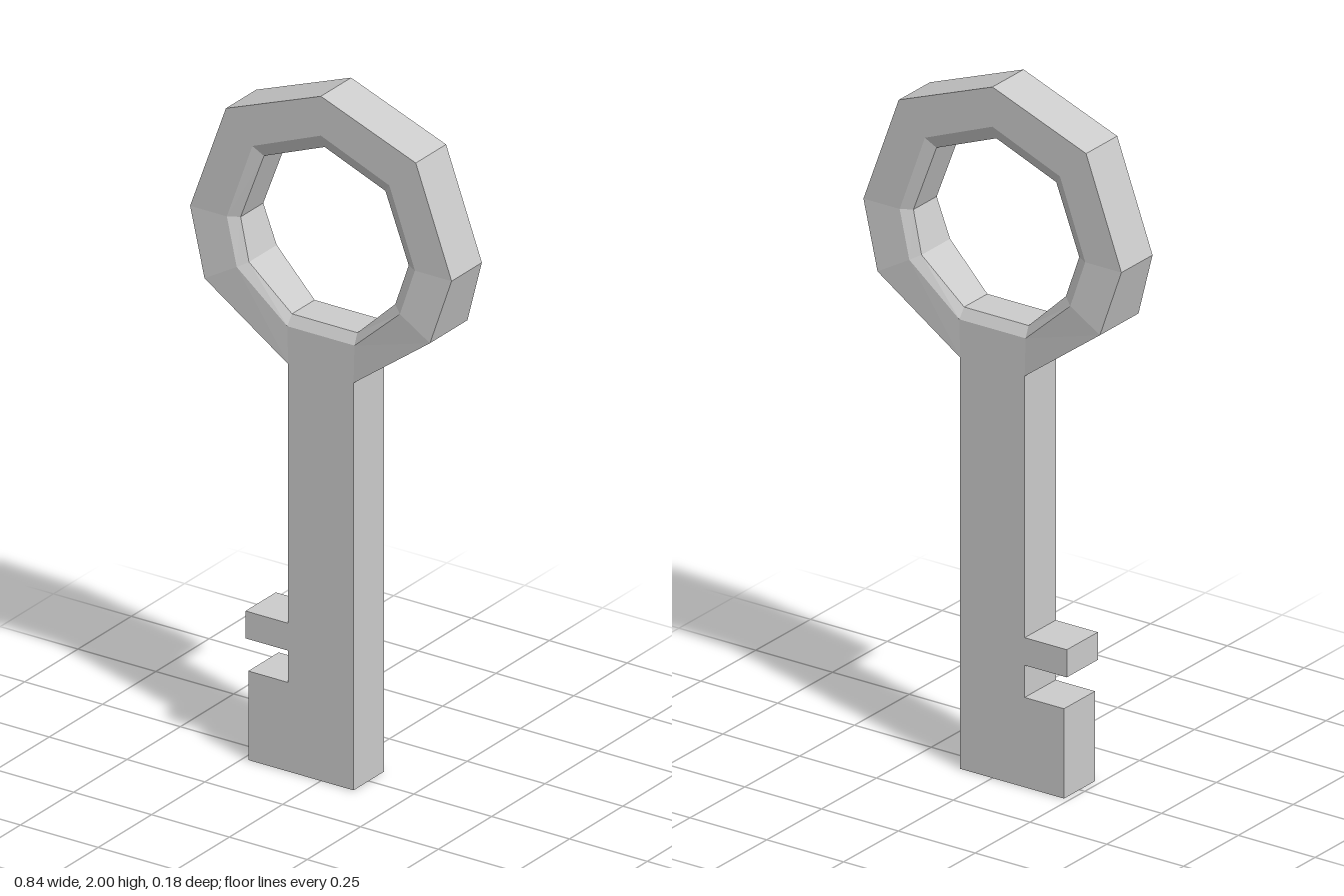
import * as THREE from 'three';

const material = new THREE.MeshStandardMaterial({ color: 0xcccccc, flatShading: true });
const T = 0.071; // half thickness

// Half of the bow, from top to shank: outer x, y, z; crease x, y, z; inner x, y
const HALF = [
  [0, 2, T, 0, 1.885, T, 0, 1.845],
  [0.305, 1.885, T, 0.22, 1.797, T, 0.195, 1.768],
  [0.42, 1.57, T, 0.302, 1.57, T, 0.27, 1.57],
  [0.362, 1.38, 0.088, 0.262, 1.437, 0.083, 0.235, 1.452],
  [0.105, 1.19, T, 0.108, 1.3, T, 0.105, 1.33],
];

// Faceted bow: a six-sided section swept around the nine corners
function makeBow() {
  const section = ([ox, oy, oz, mx, my, mz, ix, iy], s) => {
    const iz = mz - 0.018;
    return [
      [s * ox, oy, oz], [s * mx, my, mz], [s * ix, iy, iz],
      [s * ix, iy, -iz], [s * mx, my, -mz], [s * ox, oy, -oz],
    ];
  };
  const rings = [
    ...HALF.map((h) => section(h, 1)),
    ...HALF.slice(1).reverse().map((h) => section(h, -1)),
  ];
  const pos = [];
  rings.forEach((p, i) => {
    const q = rings[(i + 1) % rings.length];
    for (let k = 0; k < 6; k++) {
      if (i === 4 && k === 5) continue; // open where the shank joins
      const n = (k + 1) % 6;
      pos.push(...p[k], ...p[n], ...q[n], ...p[k], ...q[n], ...q[k]);
    }
  });
  const geo = new THREE.BufferGeometry();
  geo.setAttribute('position', new THREE.Float32BufferAttribute(pos, 3));
  geo.computeVertexNormals();
  return geo;
}

// Shank and teeth cut from one flat outline
function makeShank() {
  const outline = [
    [0.105, 0], [0.105, 1.19], [-0.105, 1.19], [-0.105, 0.433], [-0.242, 0.433],
    [-0.242, 0.353], [-0.105, 0.353], [-0.105, 0.26], [-0.233, 0.26], [-0.233, 0],
  ].map(([x, y]) => new THREE.Vector2(x, y));
  const geo = new THREE.ExtrudeGeometry(new THREE.Shape(outline), { depth: 2 * T, bevelEnabled: false });
  return geo.translate(0, 0, -T);
}

export function createModel() {
  const group = new THREE.Group();
  group.name = 'key';
  const add = (name, geo) => {
    const mesh = new THREE.Mesh(geo, material);
    mesh.name = name;
    group.add(mesh);
  };
  add('bow', makeBow());
  add('shankAndTeeth', makeShank());
  return group;
}
